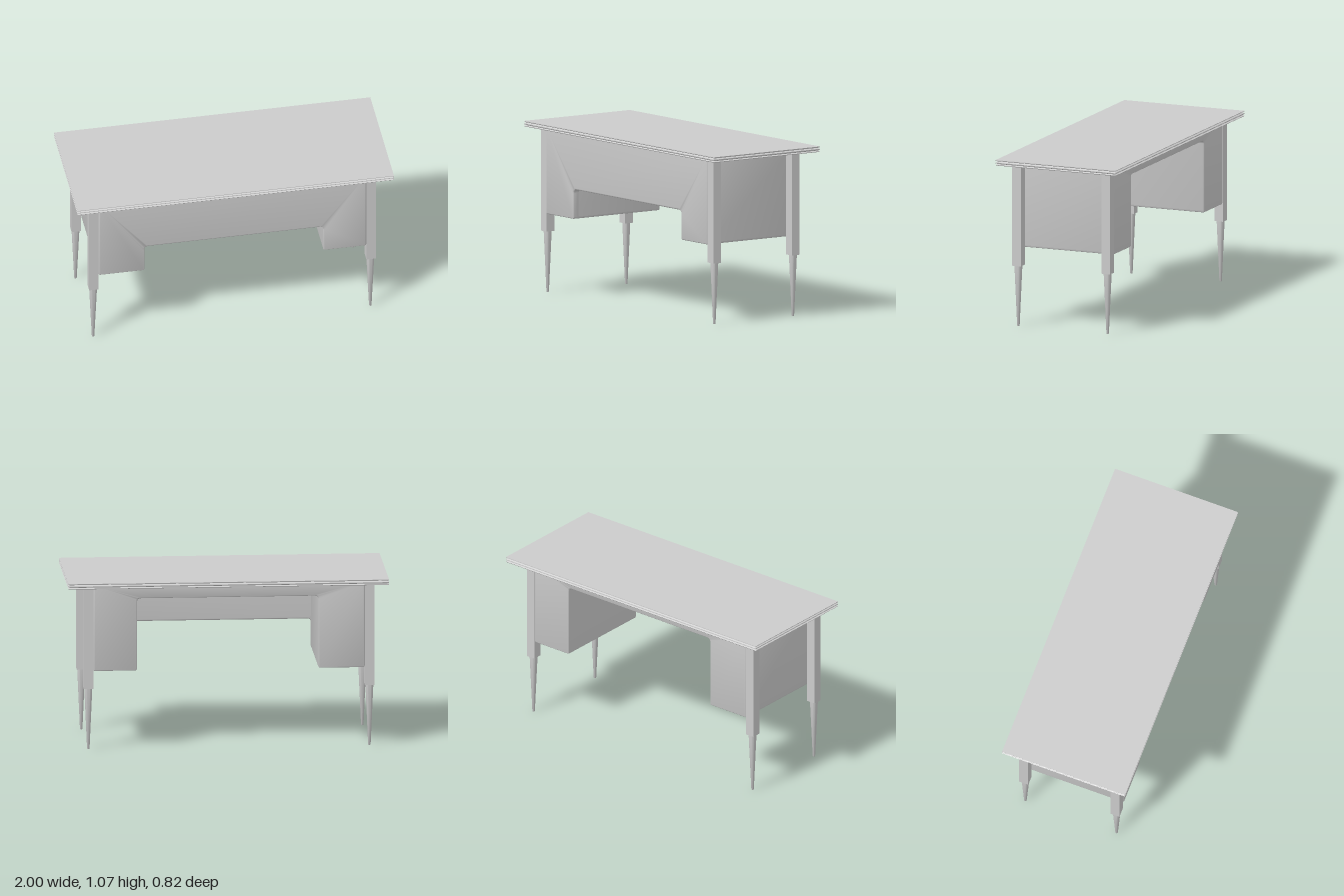
import * as THREE from 'three';
import { toCreasedNormals } from 'three/addons/utils/BufferGeometryUtils.js';

const material = new THREE.MeshStandardMaterial({ color: 0xcccccc });

function addMesh(parent, name, geometry, x = 0, y = 0, z = 0) {
  const mesh = new THREE.Mesh(geometry, material);
  mesh.name = name;
  mesh.position.set(x, y, z);
  parent.add(mesh);
  return mesh;
}

// Upside-down U outline: two pedestals joined by a bridge, with rounded lower corners
function deskOutline(bridgeY) {
  const left = -0.855, right = 0.838, top = 1.05, bottom = 0.497, knee = 0.565;
  const r = 0.012, R = 0.025;
  const s = new THREE.Shape();
  s.moveTo(left, top);
  s.lineTo(left, bottom + r);
  s.quadraticCurveTo(left, bottom, left + r, bottom);
  s.lineTo(-knee - r, bottom);
  s.quadraticCurveTo(-knee, bottom, -knee, bottom + r);
  s.lineTo(-knee, bridgeY - R);
  s.quadraticCurveTo(-knee, bridgeY, -knee + R, bridgeY);
  s.lineTo(knee - R, bridgeY);
  s.quadraticCurveTo(knee, bridgeY, knee, bridgeY - R);
  s.lineTo(knee, bottom + r);
  s.quadraticCurveTo(knee, bottom, knee + r, bottom);
  s.lineTo(right - r, bottom);
  s.quadraticCurveTo(right, bottom, right, bottom + r);
  s.lineTo(right, top);
  s.closePath();
  return s;
}

// Outline extruded from z0 to z1 with softened edges
function softExtrude(shape, z0, z1, bevel) {
  const geometry = new THREE.ExtrudeGeometry(shape, {
    depth: z1 - z0 - 2 * bevel, curveSegments: 6,
    bevelEnabled: true, bevelThickness: bevel, bevelSize: bevel,
    bevelOffset: -bevel, bevelSegments: 4,
  });
  geometry.translate(0, 0, z0 + bevel);
  return toCreasedNormals(geometry, 0.6);
}

// Rectangular slab whose edge follows [y, inset] steps from bottom to top
function mouldedSlab(halfX, halfZ, profile) {
  const positions = [], index = [];
  for (const [y, inset] of profile) {
    const x = halfX - inset, z = halfZ - inset;
    positions.push(-x, y, z, x, y, z, x, y, -z, -x, y, -z);
  }
  for (let i = 0; i < profile.length - 1; i++) {
    for (let k = 0; k < 4; k++) {
      const a = i * 4 + k, b = i * 4 + (k + 1) % 4;
      index.push(a, b, b + 4, a, b + 4, a + 4);
    }
  }
  const t = (profile.length - 1) * 4;
  index.push(0, 2, 1, 0, 3, 2, t, t + 1, t + 2, t, t + 2, t + 3);
  const geometry = new THREE.BufferGeometry();
  geometry.setAttribute('position', new THREE.Float32BufferAttribute(positions, 3));
  geometry.setIndex(index);
  const flat = geometry.toNonIndexed();
  flat.computeVertexNormals();
  return flat;
}

export function createModel() {
  const desk = new THREE.Group();
  desk.name = 'desk';

  // Tabletop with a grooved edge
  addMesh(desk, 'tabletop', mouldedSlab(1, 0.408, [
    [1.035, 0.003], [1.039, 0], [1.044, 0.01], [1.050, 0],
    [1.055, 0], [1.061, 0.01], [1.066, 0], [1.07, 0],
  ]));

  // Pedestals with a high kneehole open to the back, closed by a deeper front panel
  const body = new THREE.Group();
  body.name = 'body';
  desk.add(body);
  addMesh(body, 'pedestals', softExtrude(deskOutline(0.955), -0.324, 0.335, 0.01));
  addMesh(body, 'frontPanel', softExtrude(deskOutline(0.682), 0.298, 0.346, 0.01));

  // Four legs: square post above a round tapered foot
  for (const [side, x] of [['Right', -0.885], ['Left', 0.868]]) {
    for (const [end, z] of [['front', 0.31], ['back', -0.296]]) {
      const leg = new THREE.Group();
      leg.name = `${end}${side}Leg`;
      leg.position.set(x, 0, z);
      desk.add(leg);
      addMesh(leg, 'post', new THREE.BoxGeometry(0.06, 0.655, 0.06), 0, 0.7125, 0);
      const taper = [[0, 0], [0.006, 0], [0.008, 0.004], [0.025, 0.385]]
        .map(([r, y]) => new THREE.Vector2(r, y));
      addMesh(leg, 'taperedFoot', toCreasedNormals(new THREE.LatheGeometry(taper, 32), 0.6));
    }
  }
  return desk;
}
